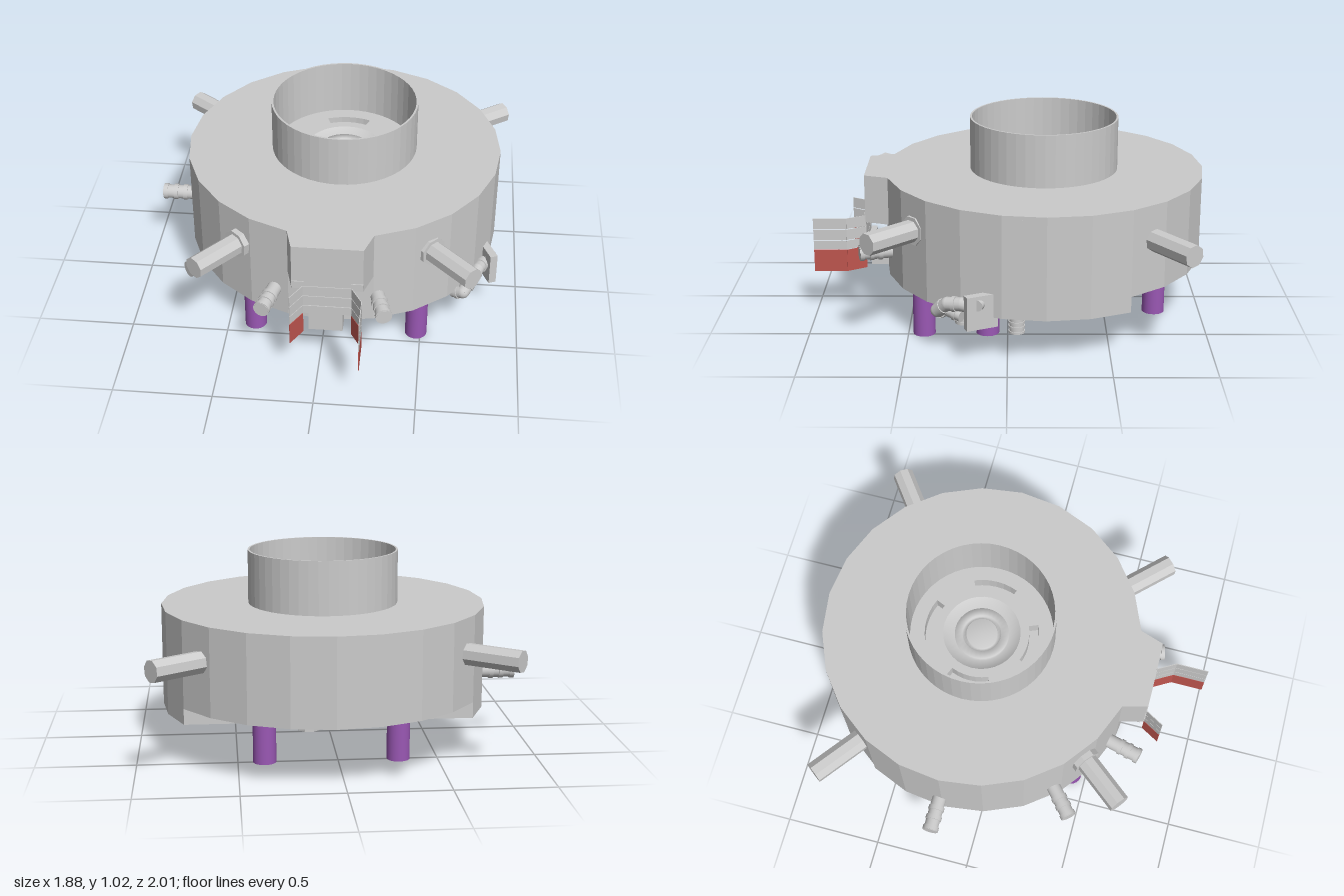
import * as THREE from 'three';

const CX = 0.05, CZ = -0.185, R = 0.82;
const mat = (color) => new THREE.MeshStandardMaterial({ color, side: THREE.DoubleSide });
const grey = mat(0xcccccc), purple = mat(0x9a58b4), red = mat(0xc0564f);
const V = (x, y, z) => new THREE.Vector3(x, y, z);

export function createModel() {
  const model = new THREE.Group();

  const add = (name, geo, m = grey, parent = model) => {
    const mesh = new THREE.Mesh(geo, m);
    mesh.name = name;
    parent.add(mesh);
    return mesh;
  };

  // plan outline [x, z] extruded upward between two heights
  const slab = (name, outline, y0, y1, holes = []) => {
    const shape = new THREE.Shape(outline.map(([x, z]) => new THREE.Vector2(x, -z)));
    for (const h of holes) shape.holes.push(new THREE.Path(h.map(([x, z]) => new THREE.Vector2(x, -z))));
    const geo = new THREE.ExtrudeGeometry(shape, { depth: y1 - y0, bevelEnabled: false });
    geo.rotateX(-Math.PI / 2).translate(0, y0, 0);
    return add(name, geo);
  };
  const polar = (r, a) => [CX + r * Math.cos(a), CZ + r * Math.sin(a)];
  const ring = (r, n) => Array.from({ length: n }, (_, i) => polar(r, (i / n) * Math.PI * 2));
  const arcSlot = (r0, r1, mid, half, n = 6) => {
    const pts = [];
    for (let i = 0; i <= n; i++) pts.push(polar(r0, mid - half + (2 * half * i) / n));
    for (let i = n; i >= 0; i--) pts.push(polar(r1, mid - half + (2 * half * i) / n));
    return pts;
  };

  // cylinder between two points
  const rod = (name, a, b, r, sides = 20, m = grey, parent = model) => {
    const dir = b.clone().sub(a);
    const geo = new THREE.CylinderGeometry(r, r, dir.length(), sides);
    if (sides === 8) geo.rotateY(Math.PI / 8);
    const mesh = add(name, sides <= 8 ? geo.toNonIndexed() : geo, m, parent);
    if (sides <= 8) mesh.geometry.computeVertexNormals();
    mesh.quaternion.setFromUnitVectors(V(0, 1, 0), dir.normalize());
    mesh.position.copy(a).add(b).multiplyScalar(0.5);
    return mesh;
  };

  // drum: stacked 24-sided layers, with a recessed fan floor inside the collar
  const drum = ring(R, 24), Q = Math.PI / 2;
  const topSlots = [0, 1, 2, 3].map((i) => arcSlot(0.245, 0.295, i * Q, 0.4));
  slab('drumBody', drum, 0.31, 0.66);
  slab('fanFloor', drum, 0.66, 0.73, [ring(0.2, 32), ...topSlots]);
  slab('drumTop', drum, 0.73, 0.75, [ring(0.37, 48)]);

  // underside plate, cut away along a chord at the rear
  const frontPart = [];
  for (let i = -2; i <= 14; i++) frontPart.push(polar(R, (i * Math.PI) / 12));
  const bottomSlots = [
    ...[0, 1, 2, 3].map((i) => arcSlot(0.26, 0.35, i * Q + Q / 2, 0.42)),
    ...[0.1, 0.7, 1.25, 1.9, 2.45, 3.05].map((a) => arcSlot(0.5, 0.56, a, 0.17)),
  ];
  slab('undersidePlate', frontPart, 0.23, 0.31, [ring(0.15, 32), ...bottomSlots]);

  // collar on top
  const collar = new THREE.LatheGeometry([[0.37, 0.73], [0.37, 1.02], [0.38, 1.02], [0.38, 0.75]]
    .map(([r, y]) => new THREE.Vector2(r, y)), 48);
  collar.deleteAttribute('uv');
  const flatCollar = collar.toNonIndexed();
  flatCollar.computeVertexNormals();
  add('collar', flatCollar).position.set(CX, 0, CZ);

  // dished hub inside the collar, and its mate underneath
  const hub = (name, pts) => add(name, new THREE.LatheGeometry(
    pts.map(([r, y]) => new THREE.Vector2(r, y)), 32)).position.set(CX, 0, CZ);
  hub('fanHub', [[0.2, 0.73], [0.14, 0.69], [0.14, 0.72], [0.1, 0.72], [0.1, 0.7], [0.08, 0.7], [0.08, 0.72], [0, 0.72]]);
  hub('lowerHub', [[0.15, 0.3], [0.13, 0.235], [0.09, 0.225], [0.08, 0.26], [0.055, 0.26]]);
  rod('hubNut', V(CX, 0.17, CZ), V(CX, 0.3, CZ), 0.055, 6);

  // hood projecting from the front
  slab('frontHood', [[-0.17, 0.58], [-0.13, 0.73], [0.22, 0.73], [0.27, 0.58]], 0.5, 0.75);

  // banded guard below the hood: thin sheets following a plan path
  const guard = new THREE.Group();
  guard.name = 'frontGuard';
  model.add(guard);
  const sheet = (name, a, b, y0, y1, m = grey) => {
    const len = Math.hypot(b[0] - a[0], b[1] - a[1]);
    const mesh = add(name, new THREE.BoxGeometry(len, y1 - y0 - 0.004, 0.004), m, guard);
    mesh.position.set((a[0] + b[0]) / 2, (y0 + y1) / 2, (a[1] + b[1]) / 2);
    mesh.rotation.y = -Math.atan2(b[1] - a[1], b[0] - a[0]);
  };
  const path = [[-0.13, 0.83], [-0.075, 0.735], [0.165, 0.735], [0.22, 0.83], [0.22, 1.0]];
  const levels = [0.23, 0.35, 0.4, 0.46, 0.52];
  for (let i = 0; i < 4; i++)
    for (let j = 0; j < 4; j++) {
      if (i === 1 && j === 0) continue;
      sheet(j === 0 ? 'guardRedBand' : 'guardBand', path[i], path[i + 1], levels[j], levels[j + 1], j === 0 ? red : grey);
    }
  const latch = add('guardLatch', new THREE.BoxGeometry(0.17, 0.12, 0.09));
  latch.position.set(0.035, 0.29, 0.67);
  add('latchTop', new THREE.BoxGeometry(0.16, 0.04, 0.03)).position.set(0.045, 0.37, 0.71);
  for (const x of [-0.1, 0.19])
    add('hoodTab', new THREE.BoxGeometry(0.06, 0.03, 0.02)).position.set(x, 0.53, 0.725);

  // four radial arms with base collars
  const arms = [[-0.59, -0.63, -0.85, -0.83], [0.64, -0.68, 0.9, -0.87], [-0.43, 0.49, -0.61, 0.71], [0.54, 0.46, 0.745, 0.67]];
  for (const [x0, z0, x1, z1] of arms) {
    const a = V(x0, 0.57, z0), b = V(x1, 0.57, z1), d = b.clone().sub(a).normalize();
    rod('arm', a.clone().addScaledVector(d, -0.08), b, 0.056, 8);
    rod('armCollar', a.clone().addScaledVector(d, -0.06), a.clone().addScaledVector(d, 0.015), 0.075, 8);
  }

  // ribbed hose ports around the side
  const port = (name, a, b, r) => {
    const g = new THREE.Group();
    g.name = name;
    model.add(g);
    rod('portTube', a, b, r * 0.88, 20, grey, g);
    for (const t of [0.35, 0.6, 0.88])
      rod('portRib', a.clone().lerp(b, t), a.clone().lerp(b, t + 0.11), r, 20, grey, g);
  };
  for (const [x0, z0, x1, z1] of [[-0.74, -0.2, -0.945, -0.2], [-0.55, 0.355, -0.69, 0.475], [-0.235, 0.58, -0.28, 0.755], [0.28, 0.58, 0.325, 0.755]])
    port('hosePort', V(x0, 0.37, z0), V(x1, 0.37, z1), 0.042);

  // purple pegs: x, z, foot height
  for (const [x, z, y] of [[-0.36, 0.42, 0], [0.478, 0.42, 0], [-0.27, -0.74, 0.08], [0.375, -0.74, 0.08], [-0.64, 0, 0.14], [0.74, 0.095, 0.12]])
    rod('peg', V(x, y, z), V(x, 0.33, z), 0.056, 24, purple);

  // valve block and pipework on the left flank
  const valve = add('valveBlock', new THREE.BoxGeometry(0.04, 0.17, 0.16));
  valve.position.set(0.83, 0.265, 0.125);
  valve.rotation.y = 0.42;
  rod('valveButton', V(0.83, 0.305, 0.13), V(0.862, 0.305, 0.143), 0.028);
  const pipe = (pts, r) => {
    for (let i = 0; i < pts.length - 1; i++) {
      const a = V(...pts[i]), b = V(...pts[i + 1]);
      rod('pipe', a, b, r, 14);
      if (i) add('pipeElbow', new THREE.SphereGeometry(r, 14, 10)).position.copy(a);
      rod('pipeJoint', a.clone().lerp(b, 0.4), a.clone().lerp(b, 0.65), r * 1.15, 14);
    }
  };
  pipe([[0.66, 0.2, 0.31], [0.71, 0.22, 0.34], [0.75, 0.27, 0.29], [0.78, 0.28, 0.22], [0.81, 0.27, 0.14]], 0.034);
  pipe([[0.64, 0.2, 0.25], [0.7, 0.21, 0.28], [0.74, 0.2, 0.22]], 0.03);
  port('drainPort', V(0.585, 0.25, 0.22), V(0.585, 0.1, 0.22), 0.04);
  port('drainPort', V(0.8, 0.24, -0.045), V(0.8, 0.145, -0.045), 0.04);

  // posts and pads on the underside
  for (let i = 0; i < 4; i++) {
    const [x, z] = polar(0.41, i * Q + 0.25);
    rod('undersidePost', V(x, 0.19, z), V(x, 0.3, z), 0.055, 8);
  }
  for (const a of [0.62, 1.15, 2, 2.4, 2.75, 3.3]) {
    const [x, z] = polar(0.74, a);
    rod('rimPad', V(x, 0.22, z), V(x, 0.26, z), 0.045);
  }
  return model;
}
